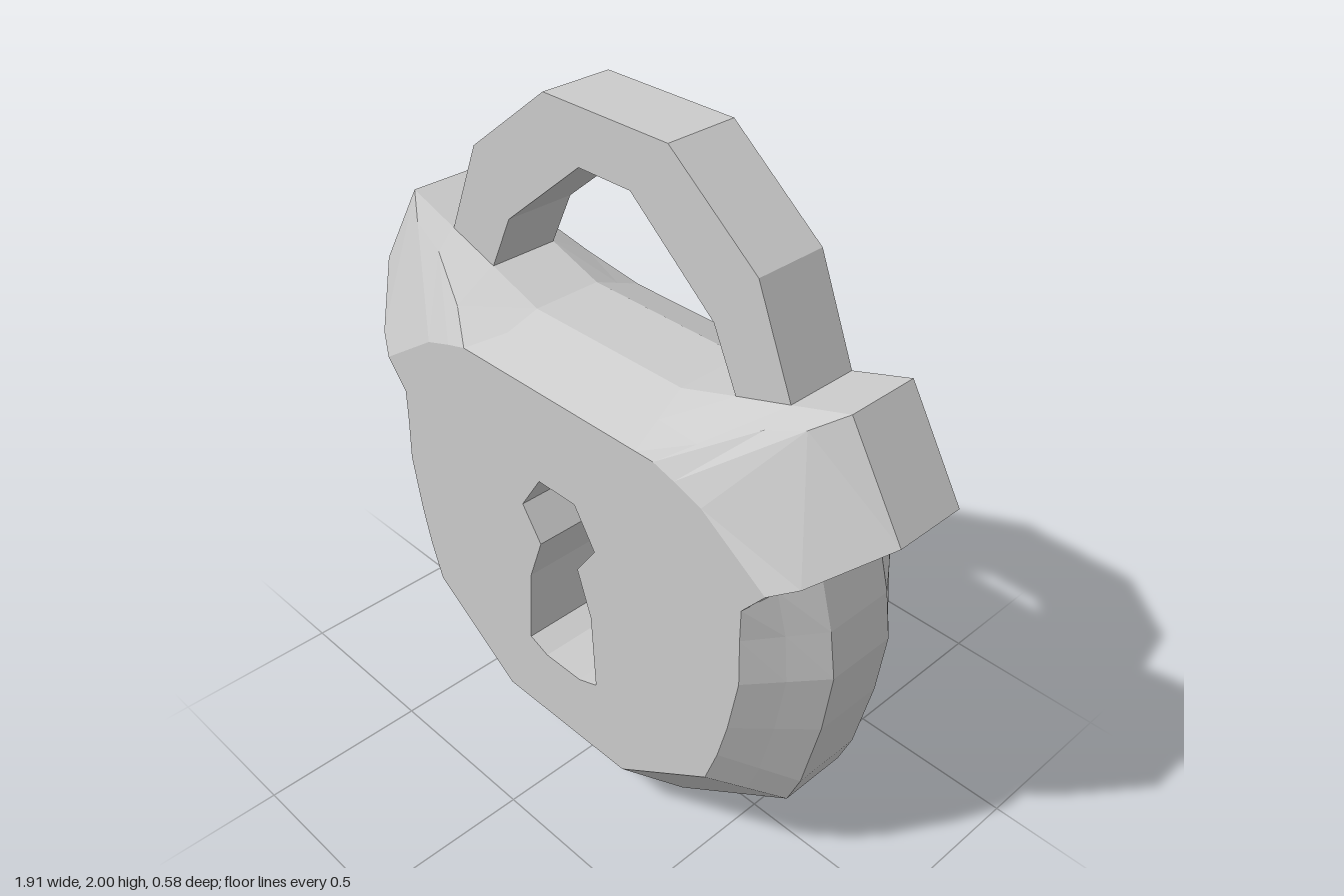
import * as THREE from 'three';

const V = (x, y, z) => new THREE.Vector3(x, y, z);

// Skin a series of closed loops (counter-clockwise, back to front)
function loft(loops) {
  const pos = [];
  const n = loops[0].length;
  for (let l = 0; l < loops.length - 1; l++) {
    for (let i = 0; i < n; i++) {
      const j = (i + 1) % n;
      const a = loops[l][i], b = loops[l][j], c = loops[l + 1][j], d = loops[l + 1][i];
      for (const p of [a, b, c, a, c, d]) pos.push(p.x, p.y, p.z);
    }
  }
  const g = new THREE.BufferGeometry();
  g.setAttribute('position', new THREE.Float32BufferAttribute(pos, 3));
  g.computeVertexNormals();
  return g;
}

// Complete a right-hand half outline with its mirrored left half
const mirror = (half) => [...half, ...half.map((p) => V(-p.x, p.y, p.z)).reverse()];
const atZ = (loop, z) => loop.map((p) => V(p.x, p.y, z));
const flipZ = (loop) => loop.map((p) => V(p.x, p.y, -p.z));

export function createModel() {
  const group = new THREE.Group();
  const material = new THREE.MeshStandardMaterial({ color: 0xcccccc, flatShading: true });
  const add = (geometry, name, parent = group) => {
    const mesh = new THREE.Mesh(geometry, material);
    mesh.name = name;
    parent.add(mesh);
    return mesh;
  };

  const EDGE = 0.107, FACE = 0.29;

  // Body stations, bottom to top: rim point, face point, optional bevel crease
  const stations = [
    [[0.31, 0], [0.245, 0.165]],
    [[0.70, 0.27], [0.565, 0.385]],
    [[0.74, 0.37], [0.605, 0.5]],
    [[0.79, 0.60], [0.635, 0.62]],
    [[0.812, 0.79], [0.665, 0.79]],
    [[0.79, 0.93], [0.66, 0.93]],
    [[0.742, 1.10], [0.66, 1.025], [0.70, 1.06, 0.21]],
    [[0.955, 1.28], [0.73, 1.11], [0.80, 1.15, 0.25]],
    [[0.787, 1.555], [0.52, 1.25], [0.71, 1.50, 0.16]],
    [[0.62, 1.50], [0.43, 1.28], [0.60, 1.455, 0.175]],
    [[0.45, 1.445], [0.36, 1.30], [0.45, 1.37, 0.235]],
    [[0.27, 1.385], [0.30, 1.30]],
  ];
  const rim = mirror(stations.map(([o]) => V(o[0], o[1], EDGE)));
  const face = mirror(stations.map(([, f]) => V(f[0], f[1], FACE)));
  const crease = mirror(stations.map(([o, f, m]) => (m
    ? V(...m)
    : V((o[0] + f[0]) / 2, (o[1] + f[1]) / 2, (EDGE + FACE) / 2))));

  const body = new THREE.Group();
  body.name = 'body';
  group.add(body);
  add(loft([flipZ(face), flipZ(crease), flipZ(rim), rim, crease, face]), 'bevelledShell', body);

  // Keyhole cut straight through
  const keyhole = mirror([
    [0.07, 0.393], [0.14, 0.42], [0.125, 0.66], [0.075, 0.80], [0.145, 0.90], [0.07, 1.015],
  ].map(([x, y]) => V(x, y, 0)));
  const inward = [...keyhole].reverse();
  add(loft([atZ(inward, -FACE), atZ(inward, FACE)]), 'keyholeWalls', body);

  // Flat front and back plates
  const flat = (loop) => loop.map((p) => new THREE.Vector2(p.x, p.y));
  const plate = new THREE.Shape(flat(face));
  plate.holes.push(new THREE.Path(flat(inward)));
  const plateGeometry = new THREE.ShapeGeometry(plate);
  add(plateGeometry, 'frontPlate', body).position.z = FACE;
  const back = add(plateGeometry, 'backPlate', body);
  back.rotation.y = Math.PI;
  back.position.z = -FACE;

  // Faceted shackle, its feet sunk into the body
  const outer = mirror([[0.65, 1.41], [0.615, 1.5], [0.50, 1.775], [0.213, 2]].map(([x, y]) => V(x, y, 0)));
  const inner = mirror([[0.49, 1.34], [0.45, 1.44], [0.37, 1.61], [0.09, 1.845]].map(([x, y]) => V(x, y, 0)));
  const arch = new THREE.Shape(flat([...outer, ...inner.reverse()]));
  const shackle = new THREE.ExtrudeGeometry(arch, { depth: EDGE * 2, bevelEnabled: false });
  shackle.translate(0, 0, -EDGE);
  add(shackle, 'shackle');

  return group;
}
